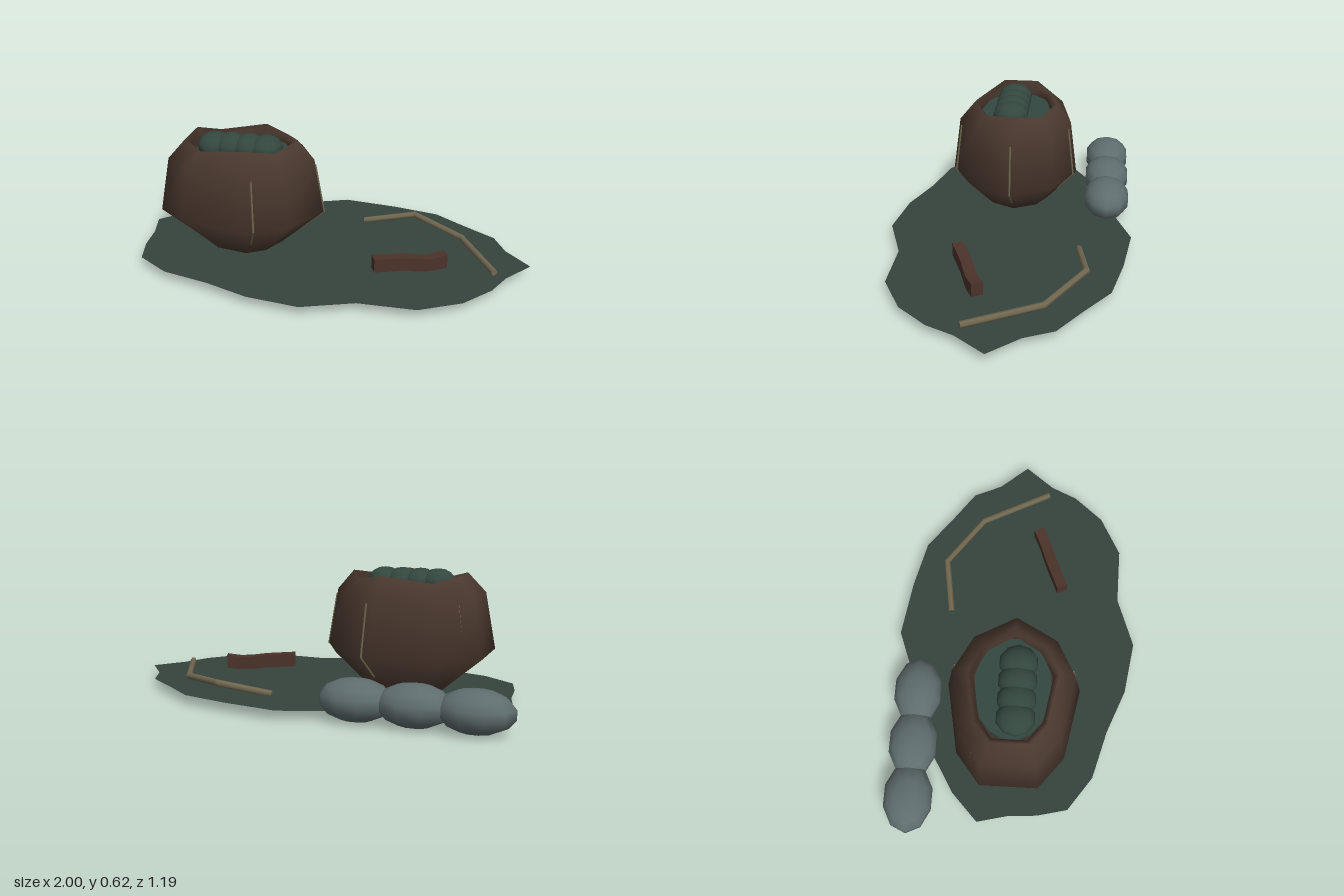
import * as THREE from 'three';

const mat = (name, color, side = THREE.FrontSide) =>
  Object.assign(new THREE.MeshStandardMaterial({ color, side }), { name });

export function createModel() {
  const group = new THREE.Group();
  const sheetGreen = mat('sheet green', 0x36443d, THREE.DoubleSide);
  const sackBrown = mat('sack brown', 0x4a382e, THREE.DoubleSide);
  const fillGreen = mat('filling green', 0x33473f);
  const rollGrey = mat('roll grey', 0x5f6d6e);
  const cordKhaki = mat('cord khaki', 0x716850);
  const stripBrown = mat('strip brown', 0x4b332a);

  const add = (name, geometry, material, parent = group) => {
    const mesh = new THREE.Mesh(geometry, material);
    mesh.name = name;
    parent.add(mesh);
    return mesh;
  };

  // Straight rods joined end to end along a list of points
  const rods = (name, points, radius, sides, material) => {
    const g = new THREE.Group();
    g.name = name;
    group.add(g);
    const v = points.map(p => new THREE.Vector3(...p));
    for (let i = 0; i < v.length - 1; i++) {
      const dir = v[i + 1].clone().sub(v[i]);
      const rod = add(name + 'Section', new THREE.CylinderGeometry(radius, radius, dir.length(), sides), material, g);
      rod.position.copy(v[i]).addScaledVector(dir, 0.5);
      rod.quaternion.setFromUnitVectors(new THREE.Vector3(0, 1, 0), dir.normalize());
      if (i > 0) add(name + 'Joint', new THREE.SphereGeometry(radius, sides, 4), material, g).position.copy(v[i]);
    }
  };

  // Flat ground sheet with an irregular edge
  const edge = [[1, 0], [0.89, 0.14], [0.83, 0.27], [0.71, 0.41], [0.52, 0.51], [0.25, 0.505],
    [0.01, 0.59], [-0.24, 0.55], [-0.45, 0.465], [-0.68, 0.4], [-0.84, 0.285], [-0.875, 0.14],
    [-0.885, 0], [-0.92, -0.145], [-0.79, -0.27], [-0.61, -0.38], [-0.45, -0.45], [-0.2, -0.52],
    [0.01, -0.6], [0.28, -0.56], [0.51, -0.505], [0.66, -0.39], [0.82, -0.275], [0.88, -0.14]];
  const sheet = new THREE.ShapeGeometry(new THREE.Shape(edge.map(([x, z]) => new THREE.Vector2(x, -z))));
  add('groundSheet', sheet.rotateX(-Math.PI / 2), sheetGreen).position.y = 0.045;

  // Nine-sided sack: one plan outline scaled through a profile of [rx, rz, y, rim wave]
  const half = [[1, 0], [0.7, 0.68], [0.22, 1], [-0.62, 0.8], [-0.99, 0.43]];
  const plan = [...half, ...half.slice(1).reverse().map(([x, z]) => [x, -z])];
  const wave = [0, -0.025, 0, -0.03, 0, 0, -0.03, 0, -0.025];
  const profile = [[0, 0, 0.055, 0], [0.18, 0.165, 0.058, 0], [0.392, 0.315, 0.24, 0],
    [0.345, 0.28, 0.505, 0], [0.265, 0.203, 0.597, 1], [0.24, 0.178, 0.56, 0.6], [0.25, 0.19, 0.48, 0]];
  const n = plan.length, pos = [], idx = [];
  profile.forEach(([rx, rz, y, w], i) => plan.forEach(([px, pz], j) => {
    pos.push(px * rx, y + wave[j] * w, pz * rz);
    if (i === profile.length - 1) return;
    const a = i * n + j, b = i * n + (j + 1) % n, c = a + n, d = b + n;
    if (i > 0) idx.push(a, c, b);
    idx.push(b, c, d);
  }));
  const sack = new THREE.BufferGeometry();
  sack.setAttribute('position', new THREE.Float32BufferAttribute(pos, 3));
  sack.setIndex(idx);
  sack.computeVertexNormals();
  add('sack', sack, sackBrown).position.x = -0.39;

  // Five thin seams running down the sack
  for (let k = 0; k < 5; k++) {
    const a = k * Math.PI * 2 / 5, c = Math.cos(a), s = Math.sin(a);
    const at = (rx, rz, y) => [-0.39 + c * rx, y, s * rz];
    rods('seam', [at(0.272, 0.232, 0.14), at(0.392, 0.315, 0.24), at(0.35, 0.284, 0.48)], 0.005, 5, cordKhaki);
  }

  // Filling in the sack mouth, topped with a row of lumps
  const filling = add('filling', new THREE.CylinderGeometry(1, 1, 0.03, 18), fillGreen);
  filling.scale.set(0.235, 1, 0.175);
  filling.position.set(-0.39, 0.52, 0);
  for (let i = 0; i < 4; i++) {
    const lump = add('lump', new THREE.SphereGeometry(1, 10, 8), fillGreen);
    lump.scale.set(0.083, 0.065, 0.09);
    lump.position.set(-0.53 + i * 0.085, 0.552, 0.02);
  }

  // Bulging roll lying along the back edge
  for (let i = 0; i < 3; i++) {
    const bulge = add('rollBulge', new THREE.SphereGeometry(1, 10, 7), rollGrey);
    bulge.scale.set(0.17, 0.095, 0.12);
    bulge.position.set(-0.83 + i * 0.26, 0.095, -0.475);
  }

  // Bent cord
  rods('cord', [[0.145, 0.048, -0.35], [0.405, 0.087, -0.39], [0.66, 0.062, -0.215], [0.835, 0.06, 0.125]],
    0.016, 6, cordKhaki);

  // Strip: a box bent along a sagging path
  const path = [[0.278, 0.094, 0.214], [0.417, 0.087, 0.155], [0.524, 0.073, 0.118], [0.604, 0.086, 0.08]];
  const strip = new THREE.BoxGeometry(3, 0.066, 0.054, 3, 1, 1);
  const p = strip.attributes.position;
  for (let i = 0; i < p.count; i++) {
    const [x, y, z] = path[Math.round(p.getX(i) + 1.5)];
    const across = p.getZ(i);
    p.setXYZ(i, x + across * 0.39, y + p.getY(i), z + across * 0.92);
  }
  strip.computeVertexNormals();
  add('strip', strip, stripBrown);

  return group;
}
